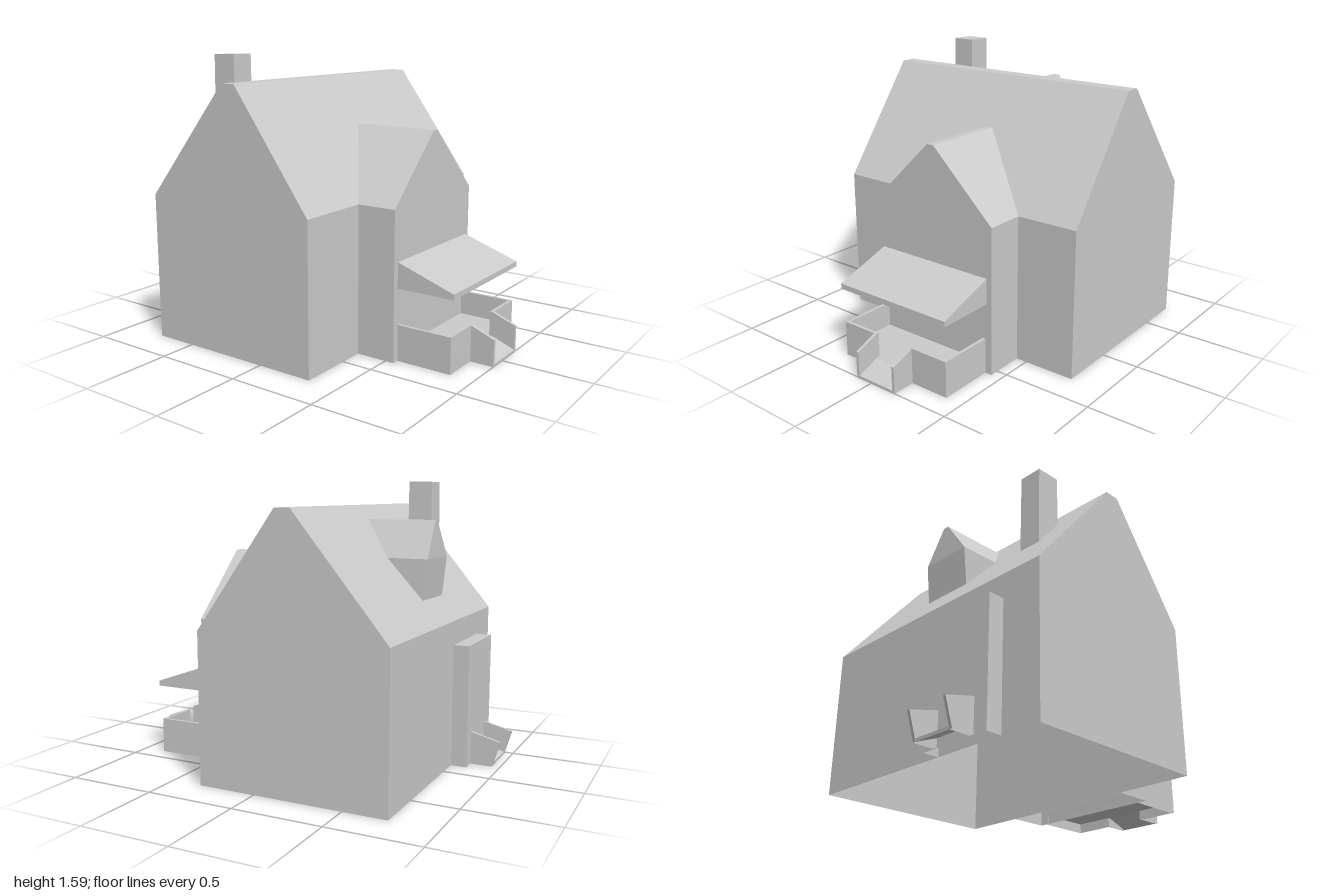
import * as THREE from 'three';
import { ConvexGeometry } from 'three/addons/geometries/ConvexGeometry.js';

const material = new THREE.MeshStandardMaterial({ color: 0xcccccc, flatShading: true, side: THREE.DoubleSide });

// Opens a shell: removes the triangles whose three corners all pass the test
function openFaces(geometry, test) {
  const position = (geometry.index ? geometry.toNonIndexed() : geometry).attributes.position;
  const corners = [];
  for (let i = 0; i < position.count; i += 3) {
    const triangle = [0, 1, 2].map((k) => new THREE.Vector3().fromBufferAttribute(position, i + k));
    if (!triangle.every(test)) corners.push(...triangle);
  }
  const open = new THREE.BufferGeometry().setFromPoints(corners);
  open.computeVertexNormals();
  return open;
}

// Every part that stands on the ground is open underneath
function add(parent, name, geometry) {
  const mesh = new THREE.Mesh(openFaces(geometry, (p) => p.y < 0.001), material);
  mesh.name = name;
  parent.add(mesh);
}

function extrude(points, depth) {
  const shape = new THREE.Shape(points.map(([a, b]) => new THREE.Vector2(a, b)));
  return new THREE.ExtrudeGeometry(shape, { depth, bevelEnabled: false });
}

// Side profile of [z, y] points, swept from x0 to x1
function sweepX(points, x0, x1) {
  return extrude(points, x1 - x0).rotateY(-Math.PI / 2).translate(x1, 0, 0);
}

// Box given by its limits
function block(x0, x1, y0, y1, z0, z1) {
  return new THREE.BoxGeometry(x1 - x0, y1 - y0, z1 - z0)
    .translate((x0 + x1) / 2, (y0 + y1) / 2, (z0 + z1) / 2);
}

// Sloping steps between two thin side panels
function addSteps(parent, name, panel, ramp, x0, x1, t) {
  const group = new THREE.Group();
  group.name = name;
  add(group, 'rightPanel', sweepX(panel, x0, x0 + t));
  add(group, 'leftPanel', sweepX(panel, x1 - t, x1));
  add(group, 'ramp', sweepX(ramp, x0 + t, x1 - t));
  parent.add(group);
}

// Front gable whose back edge follows the front wall and the main roof
function gableGeometry() {
  const geometry = extrude(
    [[-0.363, 0], [0.438, 0], [0.438, 0.825], [0.057, 1.19], [0.015, 1.19], [-0.363, 0.825]], 0.55);
  const position = geometry.attributes.position;
  for (let i = 0; i < position.count; i++) {
    const rise = Math.max(0, position.getY(i) - 0.825);
    if (position.getZ(i) < 0.01) position.setZ(i, 0.325 - rise * 0.73);
  }
  return openFaces(geometry, (p) => p.z < 0.5);
}

export function createModel() {
  const house = new THREE.Group();
  house.name = 'house';

  // Main body with narrow flat ridge
  add(house, 'mainBody', sweepX(
    [[-0.743, 0], [0.325, 0], [0.325, 0.825], [-0.135, 1.455], [-0.22, 1.455], [-0.743, 0.825]], -0.793, 0.793));

  add(house, 'frontGable', gableGeometry());

  // Awning over the porch
  add(house, 'awning', sweepX([[0.548, 0.4], [0.88, 0.4], [0.88, 0.43], [0.548, 0.543]], -0.328, 0.406));

  // Porch: low walls, raised floor and an opening for the steps
  const porch = new THREE.Group();
  porch.name = 'porch';
  const t = 0.018;
  add(porch, 'rightWall', block(-0.323, -0.323 + t, 0, 0.2, 0.548, 0.867));
  add(porch, 'leftWall', block(0.398 - t, 0.398, 0, 0.2, 0.548, 0.867));
  add(porch, 'frontWallRight', block(-0.323 + t, -0.088, 0, 0.2, 0.867 - t, 0.867));
  add(porch, 'frontWallLeft', block(0.15, 0.398 - t, 0, 0.2, 0.867 - t, 0.867));
  add(porch, 'floor', block(-0.323 + t, 0.398 - t, 0.05, 0.062, 0.548, 0.867));
  house.add(porch);

  addSteps(house, 'frontSteps',
    [[0.865, 0], [1, 0], [1, 0.148], [0.865, 0.2]],
    [[0.865, 0.05], [1, 0], [1, 0.012], [0.865, 0.062]], -0.105, 0.167, 0.017);

  // Back doorway and its steps
  add(house, 'backDoorway', block(-0.555, -0.125, 0, 0.69, -0.832, -0.743));
  addSteps(house, 'backSteps',
    [[-0.83, 0], [-0.83, 0.187], [-1, 0.145], [-0.96, 0.016], [-0.955, 0]],
    [[-0.83, 0.05], [-0.83, 0.062], [-0.957, 0.016], [-0.955, 0]], -0.47, -0.202, 0.017);

  // Chimney, cut to the roof slope
  add(house, 'chimney', sweepX([[-0.35, 1.295], [-0.352, 1.59], [-0.491, 1.587], [-0.497, 1.12]], -0.555, -0.42));

  // Rear dormer: [x, y, z] of the end wall, then where it meets the roof
  const dormer = new ConvexGeometry([
    [-0.175, 0.96, -0.652], [0.13, 0.96, -0.652],
    [-0.175, 1.18, -0.675], [0.13, 1.18, -0.675],
    [-0.025, 1.38, -0.67], [0.01, 1.38, -0.67],
    [-0.175, 1.18, -0.448], [0.13, 1.18, -0.448],
    [-0.025, 1.38, -0.283], [0.01, 1.38, -0.283],
  ].map((p) => new THREE.Vector3(...p)));
  add(house, 'rearDormer', openFaces(dormer, (p) => p.z > -0.66));

  return house;
}
